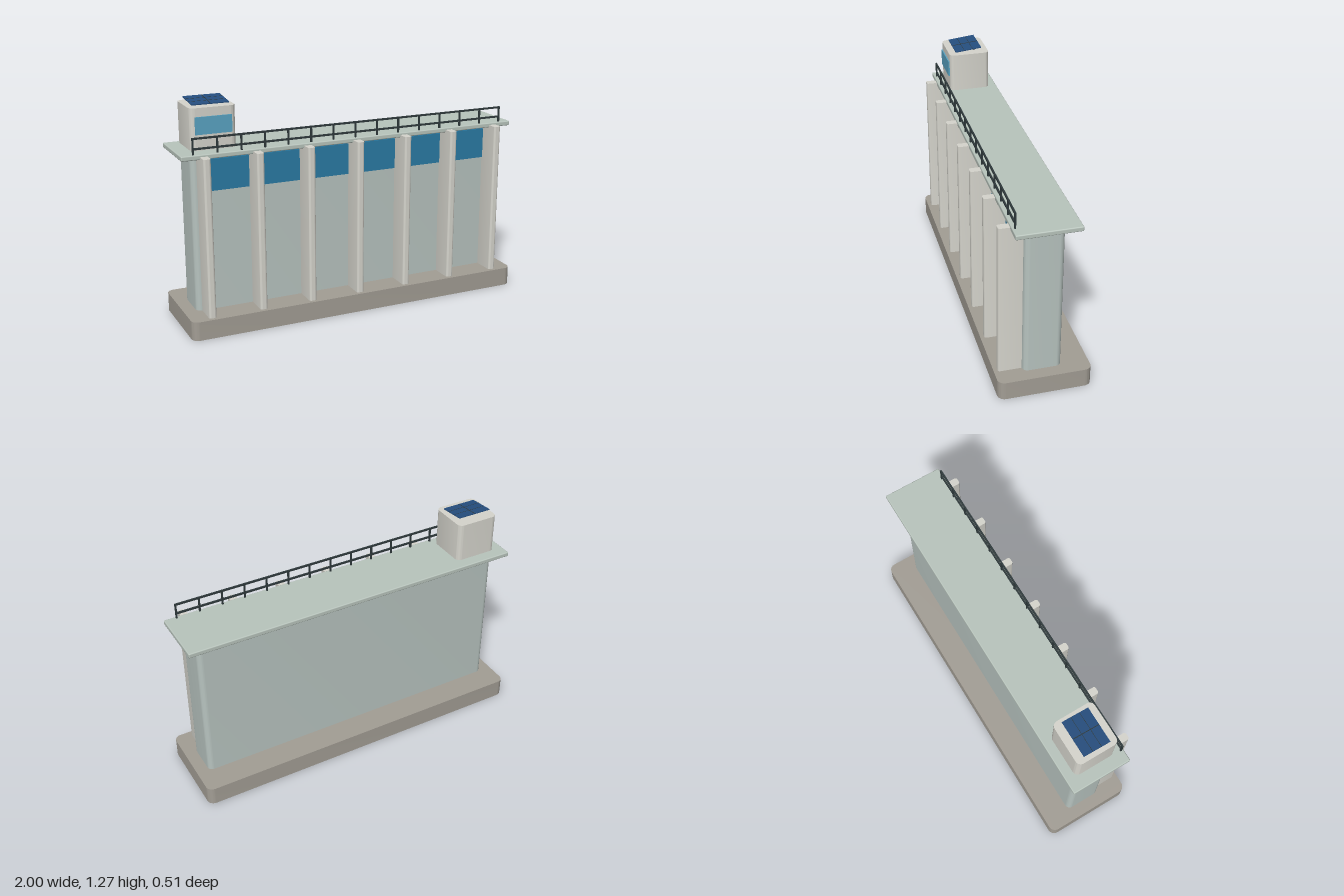
import * as THREE from 'three';
import { toCreasedNormals } from 'three/addons/utils/BufferGeometryUtils.js';
import { RoundedBoxGeometry } from 'three/addons/geometries/RoundedBoxGeometry.js';

const mat = (color) => new THREE.MeshStandardMaterial({ color });
const concrete = mat(0xa39e95), wallMat = mat(0xb8c4c0), pale = mat(0xd6d5cd);
const deckMat = mat(0xb9c5bd), gateMat = mat(0x2a7ba5), steel = mat(0x2f3a3c);
const glass = mat(0x5aa5c4), cell = mat(0x264f80);

// Upright block with rounded vertical corners, standing on y0
function block(w, d, r, y0, y1) {
  const x = w / 2, z = d / 2, s = new THREE.Shape();
  s.absarc(x - r, z - r, r, 0, Math.PI / 2);
  s.absarc(r - x, z - r, r, Math.PI / 2, Math.PI);
  s.absarc(r - x, r - z, r, Math.PI, Math.PI * 1.5);
  s.absarc(x - r, r - z, r, Math.PI * 1.5, Math.PI * 2);
  const g = new THREE.ExtrudeGeometry(s, { depth: y1 - y0, bevelEnabled: false, curveSegments: 6 });
  g.rotateX(-Math.PI / 2).translate(0, y0, 0);
  return toCreasedNormals(g, 0.5);
}

export function createModel() {
  const model = new THREE.Group();
  model.name = 'dam';

  const add = (parent, name, geometry, material, x = 0, y = 0, z = 0) => {
    const mesh = new THREE.Mesh(geometry, material);
    mesh.name = name;
    mesh.position.set(x, y, z);
    parent.add(mesh);
    return mesh;
  };
  const group = (name) => {
    const g = new THREE.Group();
    g.name = name;
    model.add(g);
    return g;
  };

  // Foundation, wall and walkway deck
  add(model, 'foundation', block(2, 0.51, 0.04, 0, 0.107), concrete);
  add(model, 'wall', block(1.86, 0.21, 0.03, 0.107, 0.965), wallMat);
  add(model, 'deck', new RoundedBoxGeometry(2, 0.027, 0.345, 2, 0.006), deckMat, 0, 0.9865, 0);

  // Seven piers with a gate panel in each bay between them
  const pitch = 0.293;
  const piers = group('piers'), gates = group('gates');
  const pierGeo = block(0.042, 0.235, 0.012, 0.107, 0.988);
  const gateGeo = new THREE.BoxGeometry(0.24, 0.174, 0.03);
  for (let i = -3; i <= 3; i++) {
    add(piers, 'pier', pierGeo, pale, i * pitch, 0, 0.116);
    if (i < 3) add(gates, 'gate', gateGeo, gateMat, (i + 0.5) * pitch, 0.87, 0.105);
  }

  // Front railing: posts and two rails
  const railing = group('railing');
  const postGeo = new THREE.BoxGeometry(0.009, 0.09, 0.009);
  for (let i = 0; i < 15; i++) {
    add(railing, 'railPost', postGeo, steel, -0.931 + i * 0.133, 1.045, 0.157);
  }
  for (const y of [1.03, 1.085]) {
    add(railing, 'rail', new THREE.BoxGeometry(1.87, 0.01, 0.009), steel, 0, y, 0.157);
  }

  // Control cabin with front window
  const cabin = group('cabin');
  cabin.position.x = -0.803;
  add(cabin, 'cabinBody', block(0.253, 0.24, 0.03, 1.01, 1.236), pale);
  add(cabin, 'window', new THREE.BoxGeometry(0.202, 0.094, 0.008), glass, 0, 1.142, 0.123);

  // Tilted solar panel on two short posts
  for (const x of [-0.068, 0.068]) {
    add(cabin, 'panelPost', new THREE.CylinderGeometry(0.004, 0.004, 0.024, 10), steel, x, 1.247, -0.04);
  }
  const panel = new THREE.Group();
  panel.name = 'solarPanel';
  panel.position.set(0, 1.254, 0.002);
  panel.rotation.x = 0.105;
  cabin.add(panel);
  add(panel, 'panelSheet', new THREE.BoxGeometry(0.206, 0.005, 0.158), cell);
  add(panel, 'panelDivider', new THREE.BoxGeometry(0.004, 0.001, 0.158), steel, 0, 0.003, 0);
  for (const z of [-0.026, 0.026]) {
    add(panel, 'panelDivider', new THREE.BoxGeometry(0.206, 0.001, 0.002), steel, 0, 0.003, z);
  }
  return model;
}
